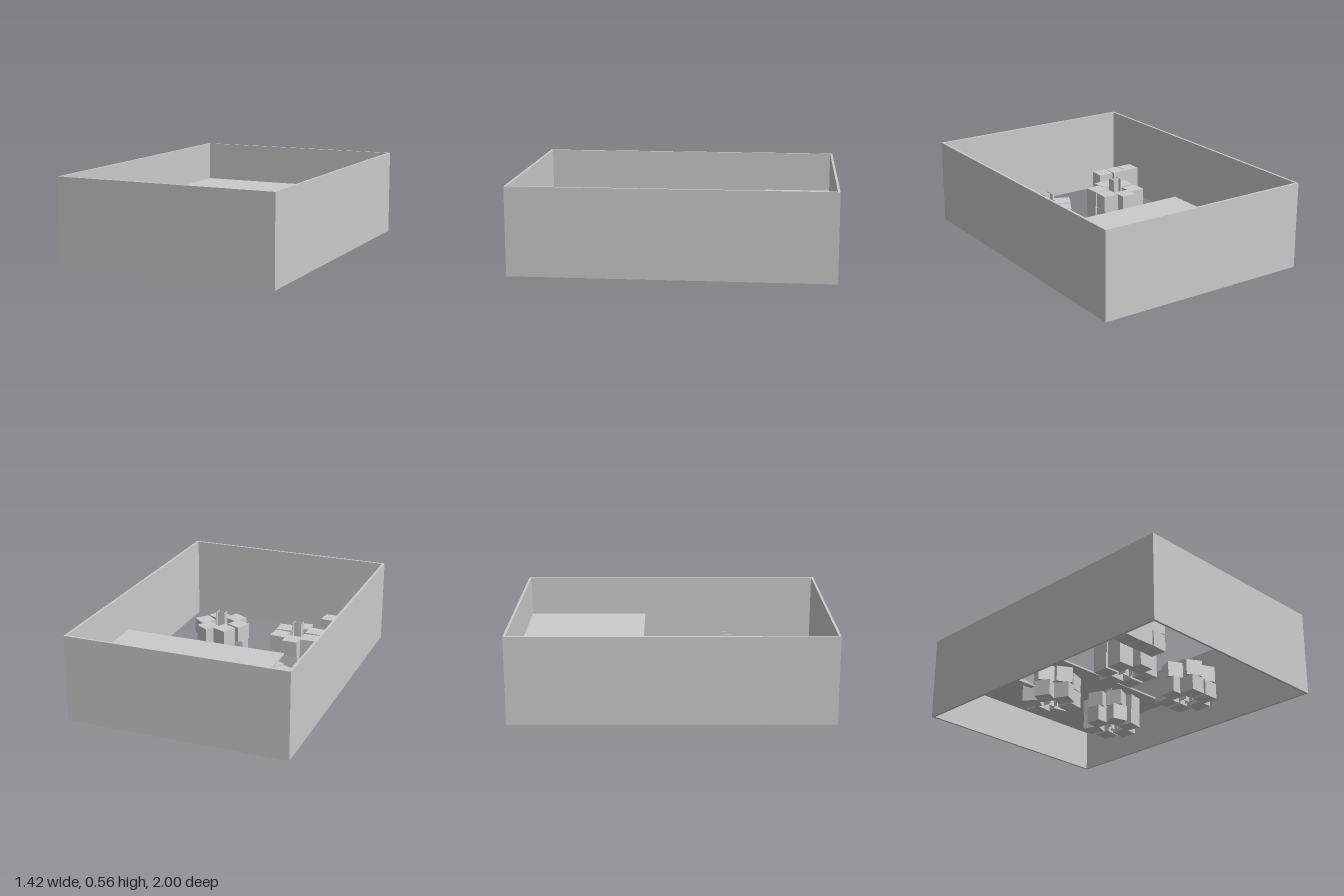
import * as THREE from 'three';

const material = new THREE.MeshStandardMaterial({ color: 0xcccccc, flatShading: true });

// Outer room, walls and deck sizes
const W = 0.712, D = 1, H = 0.556, T = 0.015;
const DECK = 0.293, CRATE = 0.105;

function box(parent, name, size, pos, turn = 0) {
  const mesh = new THREE.Mesh(new THREE.BoxGeometry(...size), material);
  mesh.name = name;
  mesh.position.set(...pos);
  mesh.rotation.y = THREE.MathUtils.degToRad(turn);
  parent.add(mesh);
  return mesh;
}

function group(parent, name, x = 0, z = 0) {
  const g = new THREE.Group();
  g.name = name;
  g.position.set(x, 0, z);
  parent.add(g);
  return g;
}

// Flat plan (x, z) extruded upwards from y
function slab(parent, name, shape, y, height) {
  const geo = new THREE.ExtrudeGeometry(shape, { depth: height, bevelEnabled: false });
  geo.rotateX(-Math.PI / 2);
  const mesh = new THREE.Mesh(geo, material);
  mesh.name = name;
  mesh.position.y = y;
  parent.add(mesh);
}

const plan = (points) => new THREE.Shape(points.map(([x, z]) => new THREE.Vector2(x, -z)));
const rectangle = (w, d) => [[-w, d], [w, d], [w, -d], [-w, -d]];

// H-section column
function column(parent, height) {
  const c = group(parent, 'column');
  for (const side of [-1, 1]) {
    box(c, 'columnFlange', [0.004, height, 0.06], [side * 0.029, height / 2, 0]);
  }
  box(c, 'columnWeb', [0.054, height, 0.004], [0, height / 2, 0]);
}

// Two rings of six crates around a column
function crateCluster(parent, { x, z, layers }) {
  const g = group(parent, 'crateCluster', x, z);
  column(g, DECK - 0.012);
  layers.forEach(({ phase, turns }, level) => {
    turns.forEach((turn, i) => {
      const a = THREE.MathUtils.degToRad(phase + i * 60);
      box(g, 'crate', [CRATE, CRATE, CRATE],
        [0.122 * Math.cos(a), CRATE * (level + 0.5), 0.122 * Math.sin(a)], turn);
    });
  });
}

export function createModel() {
  const model = new THREE.Group();
  model.name = 'warehouse';

  // Perimeter walls, open above and below
  const walls = plan(rectangle(W, D));
  walls.holes.push(plan(rectangle(W - T, D - T)));
  slab(model, 'walls', walls, 0, H);

  // Upper deck with a stairwell notch, and its front edge strip
  const inX = W - T, inZ = D - T, front = -0.2;
  slab(model, 'upperDeck', plan([
    [-inX, -inZ], [-inX, -0.535], [-0.39, -0.535], [-0.39, front], [inX, front], [inX, -inZ],
  ]), DECK - 0.012, 0.012);
  box(model, 'deckEdge', [inX + 0.39, 0.012, 0.015], [(inX - 0.39) / 2, DECK - 0.006, front + 0.0075]);

  // Open stair treads along the right wall
  const stairs = group(model, 'stairs');
  const steps = 12, run = 0.38 / steps;
  for (let i = 0; i < steps; i++) {
    box(stairs, 'tread', [0.137, 0.008, run + 0.004],
      [-0.628, 0.008 + i * 0.0235, -0.155 - run * (i + 0.5)]);
  }

  // Crates stacked around the four columns
  const clusters = [
    { x: -0.293, z: 0.373, layers: [
      { phase: 30, turns: [0, 2, -2, 0, 3, 0] }, { phase: 30, turns: [4, 5, -3, 3, -2, -4] }] },
    { x: 0.262, z: 0.373, layers: [
      { phase: 0, turns: [0, 0, 0, 0, 0, 0] }, { phase: 0, turns: [-40, -25, -28, -25, -25, -33] }] },
    { x: -0.293, z: -0.297, layers: [
      { phase: 30, turns: [10, 25, 25, 35, 5, -10] }, { phase: 35, turns: [20, -30, -25, 38, 15, 30] }] },
    { x: 0.262, z: -0.297, layers: [
      { phase: 0, turns: [5, 10, -15, 0, 20, 8] }, { phase: 0, turns: [30, 12, 25, 20, 15, -20] }] },
  ];
  clusters.forEach((c) => crateCluster(model, c));

  // Row of paired crates by the right wall
  const row = group(model, 'crateRow', -0.53, 0.717);
  [[2, -3], [-2, 3], [3, -4]].forEach((turns, i) => {
    turns.forEach((turn, level) => {
      box(row, 'crate', [CRATE, CRATE, CRATE], [(i - 1) * 0.11, CRATE * (level + 0.5), 0], turn);
    });
  });

  return model;
}
